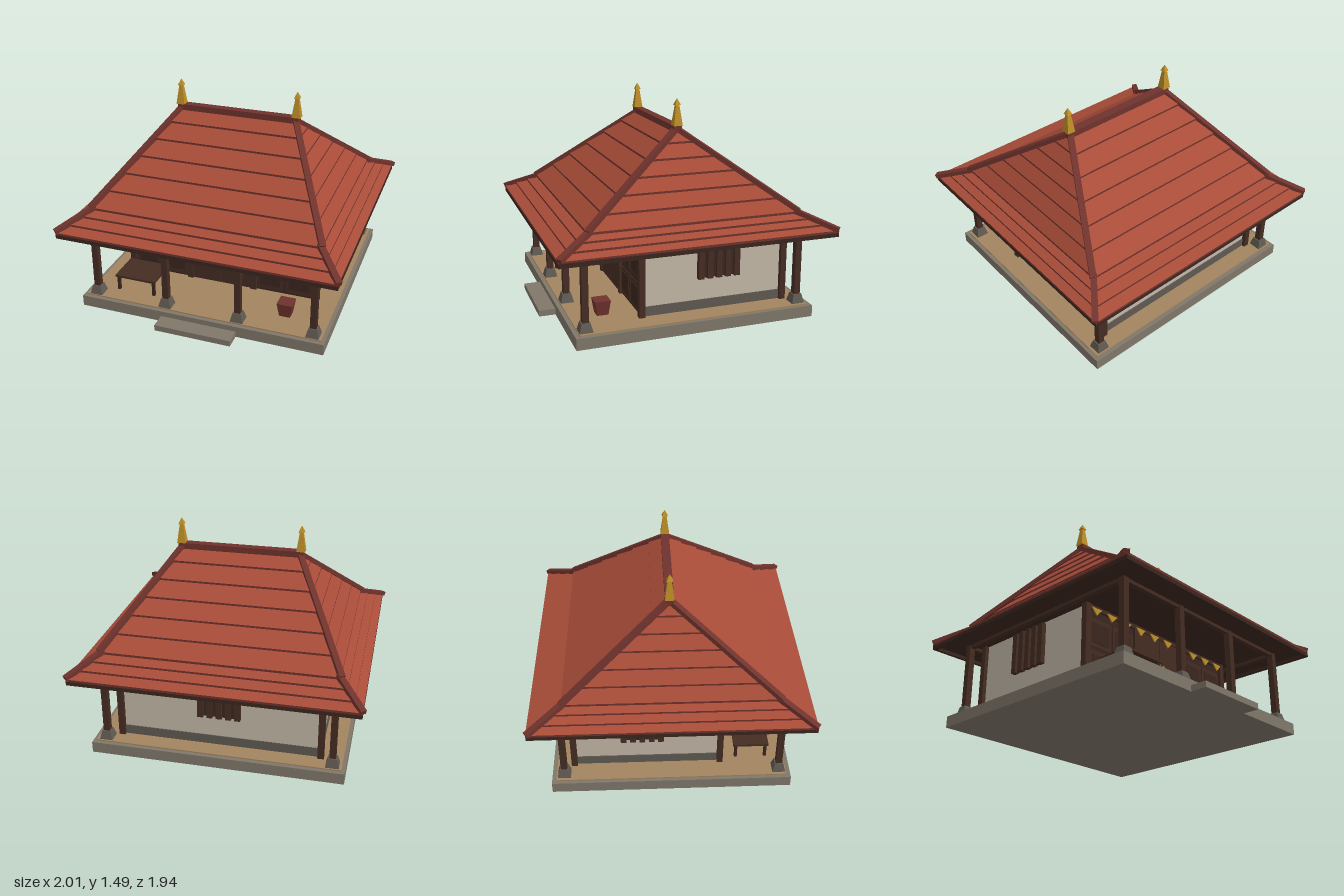
import * as THREE from 'three';

const mat = (name, color) => Object.assign(new THREE.MeshStandardMaterial({ color }), { name });
const M = {
  tile: mat('roof tile', 0xa84c38),
  ridge: mat('dark red clay', 0x70332d),
  wood: mat('wood', 0x452d23),
  darkWood: mat('dark wood', 0x3b261e),
  plaster: mat('plaster', 0xc4b8a8),
  stone: mat('stone', 0x80776a),
  darkStone: mat('dark stone', 0x5f5a52),
  deck: mat('deck', 0xa3845f),
  gold: mat('gold', 0xbe8f28),
};

function add(parent, name, geometry, material) {
  const mesh = new THREE.Mesh(geometry, material);
  mesh.name = name;
  parent.add(mesh);
  return mesh;
}

// Box given by its ranges along x, y and z
function box(parent, name, material, x0, x1, y0, y1, z0, z1) {
  const m = add(parent, name, new THREE.BoxGeometry(x1 - x0, y1 - y0, z1 - z0), material);
  m.position.set((x0 + x1) / 2, (y0 + y1) / 2, (z0 + z1) / 2);
  return m;
}

// Square frustum with half widths at the bottom and top
function taper(parent, name, material, x, y0, y1, z, bottom, top) {
  const g = new THREE.CylinderGeometry(top * Math.SQRT2, bottom * Math.SQRT2, y1 - y0, 4)
    .rotateY(Math.PI / 4).toNonIndexed();
  g.computeVertexNormals();
  add(parent, name, g, material).position.set(x, (y0 + y1) / 2, z);
}

// Square bar between two points
function bar(parent, name, material, a, b, w, h) {
  const p = new THREE.Vector3(...a), q = new THREE.Vector3(...b);
  const m = add(parent, name, new THREE.BoxGeometry(w, h, p.distanceTo(q)), material);
  m.position.copy(p).add(q).multiplyScalar(0.5);
  m.lookAt(q);
}

// Four sloping faces between two rectangles [half x, half z, y]
function ring(parent, name, material, a, b) {
  const corners = ([x, z, y]) => [[x, y, z], [x, y, -z], [-x, y, -z], [-x, y, z]];
  const A = corners(a), B = corners(b), pos = [];
  for (let i = 0; i < 4; i++) {
    const j = (i + 1) % 4;
    pos.push(...A[i], ...A[j], ...B[j], ...A[i], ...B[j], ...B[i]);
  }
  const g = new THREE.BufferGeometry();
  g.setAttribute('position', new THREE.Float32BufferAttribute(pos, 3));
  g.computeVertexNormals();
  add(parent, name, g, material);
}

// Tiled slope split into overlapping courses, each with a dark lower edge
function slope(parent, from, to, courses) {
  const lip = 0.014;
  const at = (t, lift) => from.map((v, i) => v + (to[i] - v) * t + (i === 2 ? lift : 0));
  for (let i = 0; i < courses; i++) {
    const t = i / courses;
    ring(parent, 'courseEdge', M.ridge, at(t, -0.002), at(t, lip));
    ring(parent, 'tileCourse', M.tile, at(t, lip), at((i + 1) / courses, 0));
  }
}

function buildRoof() {
  const roof = new THREE.Group();
  roof.name = 'roof';
  const eave = [0.98, 0.955, 0.622], bend = [0.81, 0.72, 0.73], top = [0.42, 0, 1.288];
  slope(roof, eave, bend, 3);
  slope(roof, [0.815, 0.73, 0.732], top, 6);
  box(roof, 'soffit', M.darkWood, -0.97, 0.97, 0.615, 0.622, -0.945, 0.945);
  for (const s of [-1, 1]) {
    box(roof, 'fascia', M.darkWood, -0.98, 0.98, 0.592, 0.624, s * 0.942 - 0.012, s * 0.942 + 0.012);
    box(roof, 'fascia', M.darkWood, s * 0.968 - 0.012, s * 0.968 + 0.012, 0.592, 0.624, -0.93, 0.93);
    for (const z of [-1, 1]) {
      bar(roof, 'lowerHip', M.ridge, [s * 0.983, 0.64, z * 0.952], [s * 0.8, 0.75, z * 0.71], 0.042, 0.032);
      bar(roof, 'upperHip', M.ridge, [s * 0.822, 0.75, z * 0.735], [s * 0.42, 1.29, 0], 0.042, 0.032);
    }
    // Finial: tall spire and small cap
    taper(roof, 'finialSpire', M.gold, s * 0.43, 1.31, 1.45, 0, 0.031, 0.012);
    taper(roof, 'finialCap', M.gold, s * 0.43, 1.448, 1.492, 0, 0.021, 0.001);
  }
  box(roof, 'ridge', M.ridge, -0.45, 0.45, 1.262, 1.312, -0.03, 0.03);
  return roof;
}

// Barred window facing +z, centred on x
function barredWindow() {
  const g = new THREE.Group();
  g.name = 'window';
  box(g, 'windowPanel', M.darkWood, -0.14, 0.14, 0.315, 0.6, -0.01, 0.015);
  for (let i = 0; i < 5; i++) {
    const x = -0.13 + i * 0.065;
    box(g, 'windowBar', M.wood, x - 0.02, x + 0.02, 0.31, 0.602, 0, 0.035);
  }
  return g;
}

function buildHouse() {
  const house = new THREE.Group();
  house.name = 'house';
  box(house, 'walls', M.plaster, -0.7, 0.7, 0.088, 0.62, -0.675, 0.33);
  box(house, 'plinth', M.darkStone, -0.706, 0.706, 0.088, 0.155, -0.681, 0.325);
  box(house, 'frontWall', M.darkWood, -0.71, 0.71, 0.088, 0.618, 0.33, 0.345);
  for (const s of [-1, 1]) {
    for (const z of [-0.683, 0.347])
      box(house, 'cornerPost', M.wood, s * 0.707 - 0.022, s * 0.707 + 0.022, 0.088, 0.618, z - 0.021, z + 0.021);
    box(house, 'doorPost', M.wood, s * 0.243 - 0.022, s * 0.243 + 0.022, 0.088, 0.618, 0.34, 0.366);
    // Door leaf and its handle
    const leaf = [s * 0.003, s * 0.22].sort((a, b) => a - b);
    box(house, 'doorLeaf', M.wood, ...leaf, 0.09, 0.6, 0.34, 0.355);
    box(house, 'doorHandle', M.gold, s * 0.023 - 0.006, s * 0.023 + 0.006, 0.34, 0.39, 0.35, 0.375);
    // Raised side panels
    for (const px of [0.368, 0.58]) for (const y of [0.105, 0.33]) {
      const x = s * px;
      box(house, 'panelFrame', M.wood, x - 0.098, x + 0.098, y, y + 0.2, 0.34, 0.351);
      box(house, 'panelField', M.darkWood, x - 0.075, x + 0.075, y + 0.03, y + 0.17, 0.34, 0.356);
    }
    const side = barredWindow();
    side.position.set(s * 0.7, 0, -0.2);
    side.rotation.y = s * Math.PI / 2;
    house.add(side);
  }
  const back = barredWindow();
  back.position.z = -0.675;
  back.rotation.y = Math.PI;
  house.add(back);
  box(house, 'lintel', M.wood, -0.7, 0.7, 0.585, 0.618, 0.34, 0.362);

  // Row of hanging gold pendants
  const tri = new THREE.Shape([[-0.045, 0.05], [0, 0], [0.045, 0.05]].map(p => new THREE.Vector2(...p)));
  const pendant = new THREE.ExtrudeGeometry(tri, { depth: 0.008, bevelEnabled: false });
  for (let i = 0; i < 10; i++)
    add(house, 'pendant', pendant, M.gold).position.set(-0.639 + i * 0.142, 0.542, 0.368);
  return house;
}

function buildVeranda() {
  const v = new THREE.Group();
  v.name = 'veranda';
  box(v, 'platform', M.stone, -0.885, 0.885, 0, 0.08, -0.835, 0.835);
  box(v, 'step', M.stone, -0.275, 0.275, 0, 0.042, 0.83, 0.95);
  box(v, 'floor', M.deck, -0.86, 0.86, 0.079, 0.088, -0.805, 0.805);
  // Columns on tapered stone feet
  const spots = [[-0.795, 0.755], [-0.265, 0.755], [0.265, 0.755], [0.795, 0.755], [-0.795, -0.75], [0.795, -0.75]];
  for (const [x, z] of spots) {
    taper(v, 'columnFoot', M.darkStone, x, 0.086, 0.15, z, 0.046, 0.03);
    box(v, 'column', M.wood, x - 0.022, x + 0.022, 0.14, 0.618, z - 0.022, z + 0.022);
  }
  for (const s of [-1, 1]) {
    box(v, 'beam', M.wood, -0.815, 0.815, 0.592, 0.617, s * 0.752 - 0.018, s * 0.752 + 0.018);
    box(v, 'beam', M.wood, s * 0.795 - 0.018, s * 0.795 + 0.018, 0.592, 0.617, -0.75, 0.75);
  }
  return v;
}

function buildBench() {
  const bench = new THREE.Group();
  bench.name = 'bench';
  box(bench, 'benchTop', M.wood, -0.688, -0.382, 0.195, 0.211, 0.445, 0.695);
  for (const x of [-0.67, -0.4]) for (const z of [0.465, 0.675])
    box(bench, 'benchLeg', M.darkWood, x - 0.01, x + 0.01, 0.086, 0.197, z - 0.01, z + 0.01);
  return bench;
}

export function createModel() {
  const model = new THREE.Group();
  model.name = 'pavilionHouse';
  model.add(buildVeranda(), buildHouse(), buildRoof(), buildBench());
  taper(model, 'planter', M.ridge, 0.555, 0.086, 0.19, 0.582, 0.039, 0.054);
  return model;
}
